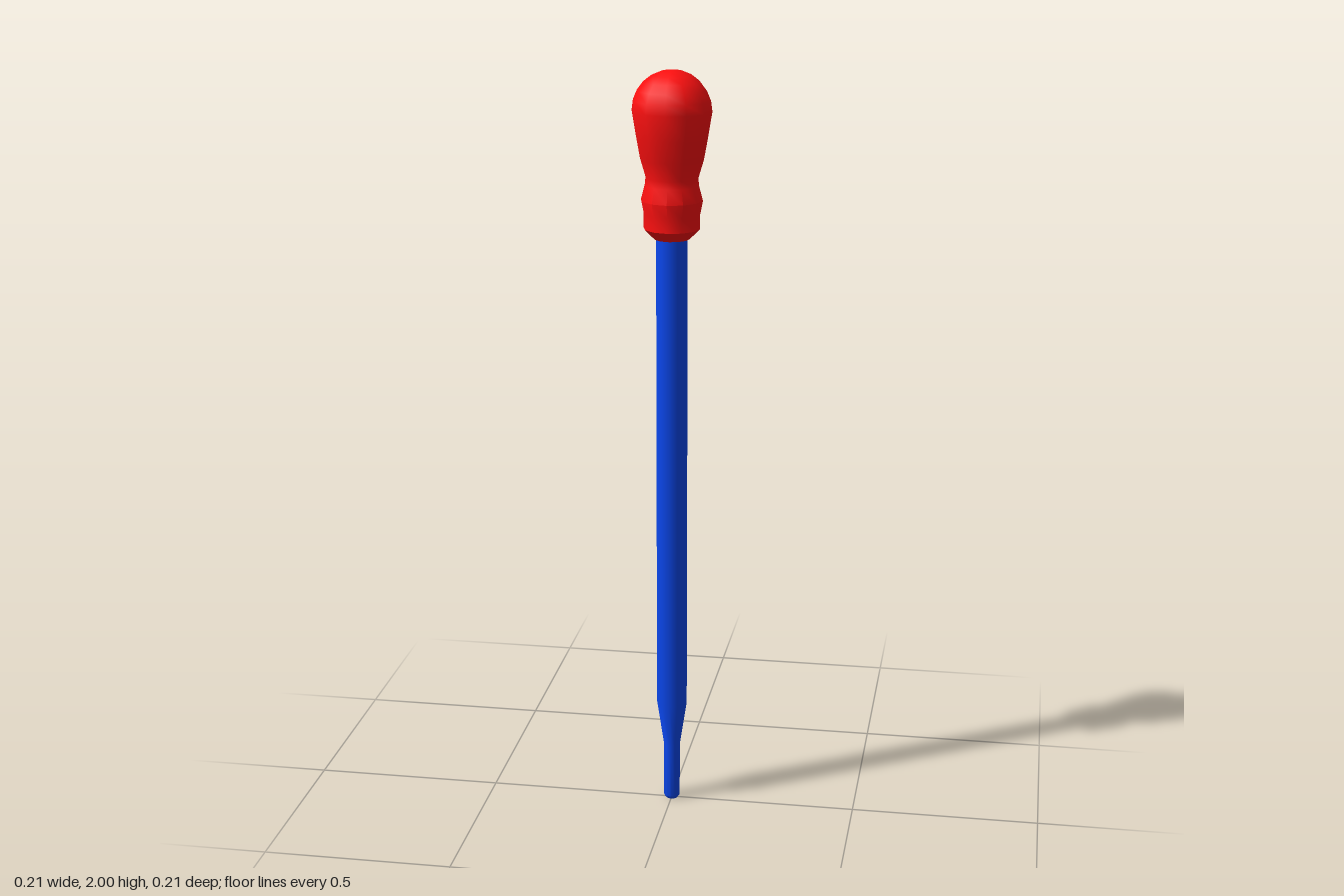
import * as THREE from 'three';
import { toCreasedNormals } from 'three/addons/utils/BufferGeometryUtils.js';

const SIDES = 12;

// Turned part from [radius, height] pairs, listed bottom to top
function turned(name, color, profile) {
  const points = profile.map(([r, y]) => new THREE.Vector2(r, y));
  const geometry = toCreasedNormals(new THREE.LatheGeometry(points, SIDES), 0.65);
  const mesh = new THREE.Mesh(geometry, new THREE.MeshStandardMaterial({ color }));
  mesh.name = name;
  return mesh;
}

export function createModel() {
  const group = new THREE.Group();
  group.name = 'dropper';

  // Glass tube with tapered tip, ending inside the bulb
  group.add(turned('tube', 0x0b48f0, [
    [0, 0], [0.016, 0], [0.022, 0.009], [0.022, 0.16],
    [0.041, 0.285], [0.041, 1.6], [0, 1.6],
  ]));

  // Rubber bulb: chamfered collar, ridge, waist and flared body
  const bulb = [
    [0, 1.57], [0.046, 1.57], [0.073, 1.597], [0.073, 1.635], [0.08, 1.67],
    [0.07, 1.708], [0.068, 1.728], [0.082, 1.775], [0.092, 1.83],
  ];
  // Domed top
  const R = 0.103;
  for (let i = 0; i <= 6; i++) {
    const a = (i / 6) * Math.PI / 2;
    bulb.push([i === 6 ? 0 : R * Math.cos(a), 1.897 + R * Math.sin(a)]);
  }
  group.add(turned('bulb', 0xff1010, bulb));

  return group;
}
